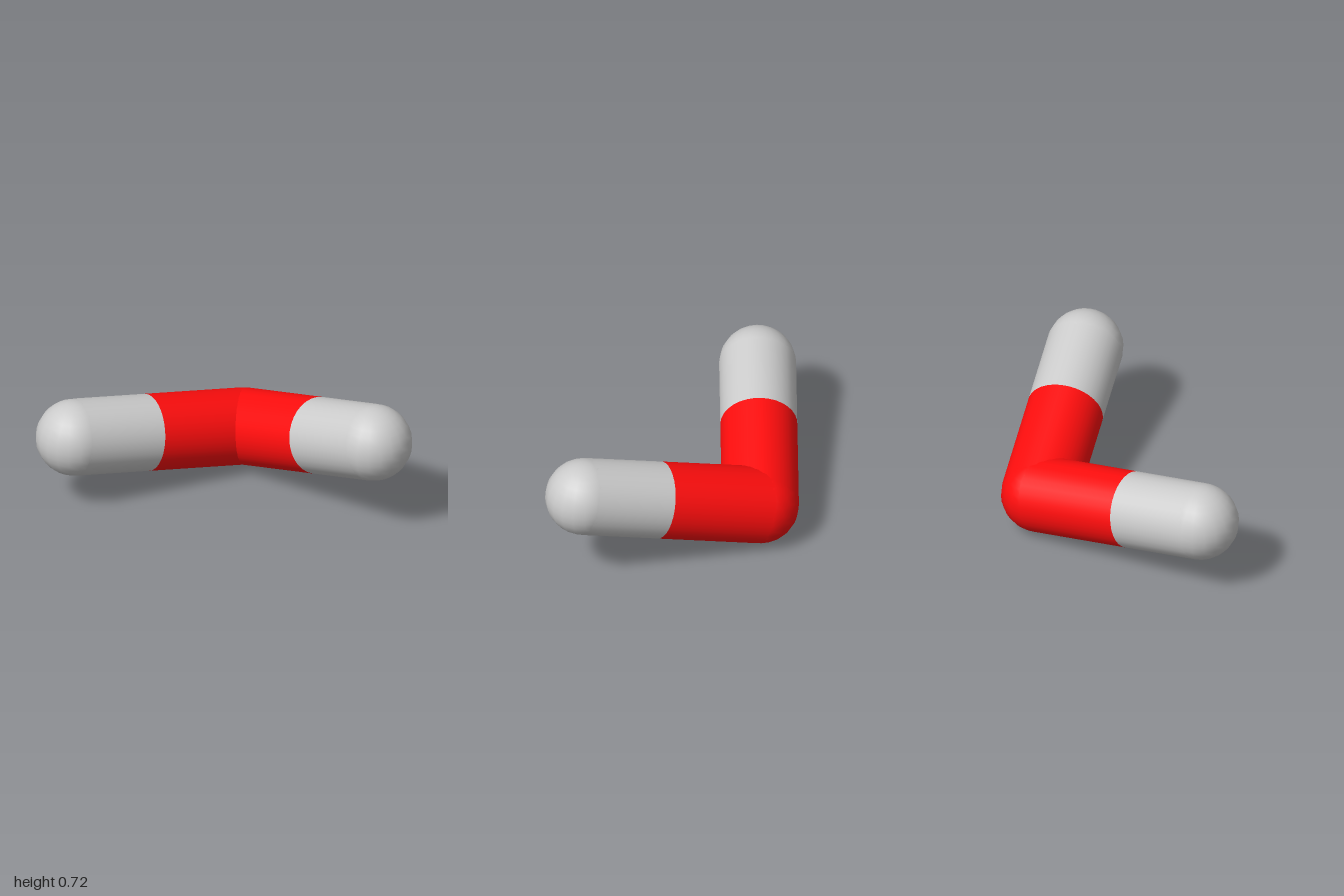
import * as THREE from 'three';

const R = 0.21;

export function createModel() {
  const model = new THREE.Group();
  const grey = new THREE.MeshStandardMaterial({ color: 0xcccccc });
  const red = new THREE.MeshStandardMaterial({ color: 0xff0d0d });

  const elbow = new THREE.Vector3(-0.165, 0.215, -0.41);
  const ends = {
    right: new THREE.Vector3(-0.79, 0.4, 0.41),
    left: new THREE.Vector3(0.79, 0.515, -0.07),
  };

  function ball(name, center, material) {
    const mesh = new THREE.Mesh(new THREE.SphereGeometry(R, 20, 16), material);
    mesh.name = name;
    mesh.position.copy(center);
    model.add(mesh);
  }

  // Open tube between two points
  function rod(name, a, b, material) {
    const dir = b.clone().sub(a);
    const geo = new THREE.CylinderGeometry(R, R, dir.length(), 32, 1, true);
    const mesh = new THREE.Mesh(geo, material);
    mesh.name = name;
    mesh.position.copy(a).add(b).multiplyScalar(0.5);
    mesh.quaternion.setFromUnitVectors(new THREE.Vector3(0, 1, 0), dir.normalize());
    model.add(mesh);
  }

  // Rounded joint where the two arms meet
  ball('elbowJoint', elbow, red);

  // Each arm: red inner half, grey outer half, round grey tip
  for (const [side, tip] of Object.entries(ends)) {
    const split = elbow.clone().lerp(tip, 0.57);
    rod(side + 'InnerRod', elbow, split, red);
    rod(side + 'OuterRod', split, tip, grey);
    ball(side + 'Tip', tip, grey);
  }
  return model;
}
